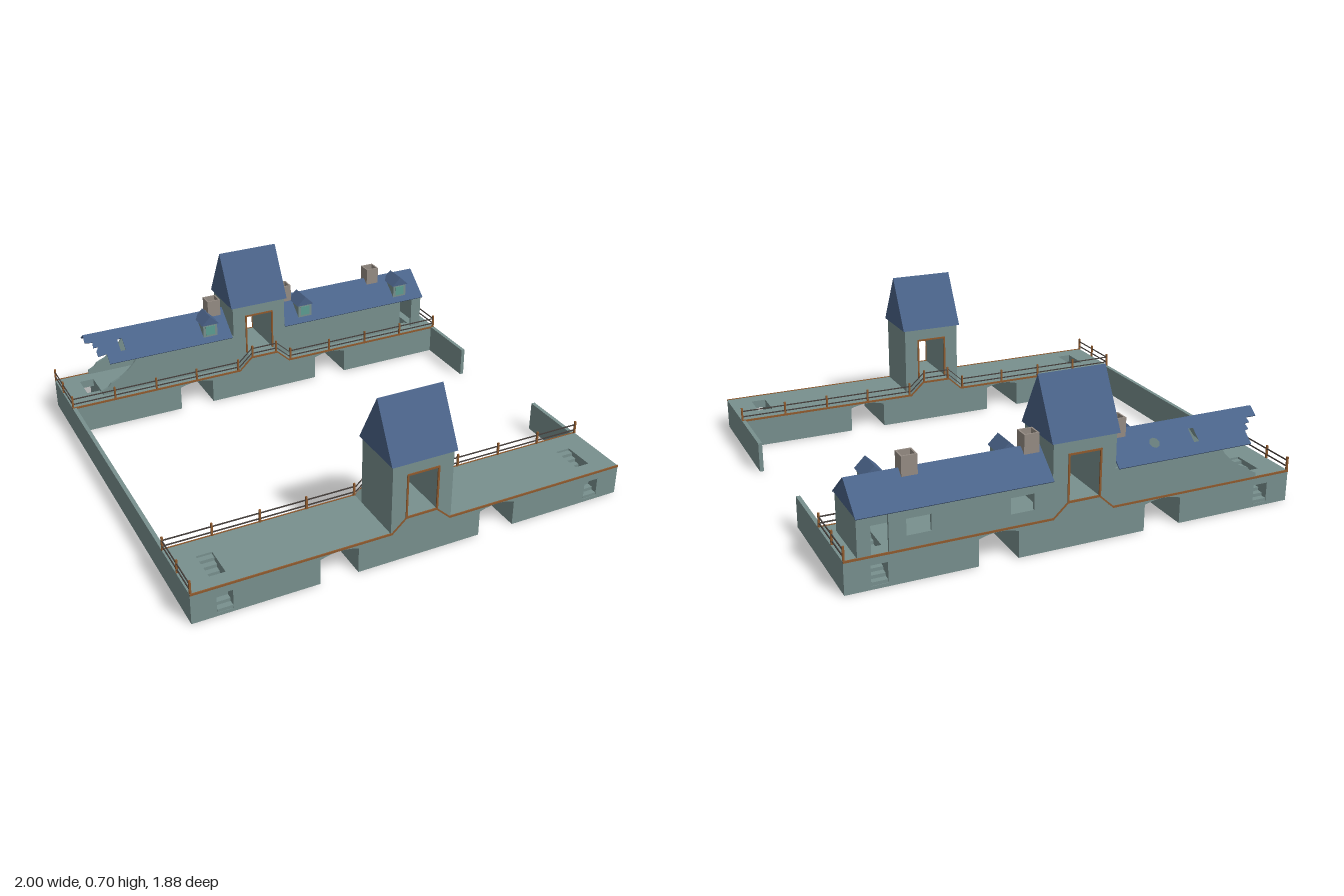
import * as THREE from 'three';
import { mergeGeometries } from 'three/addons/utils/BufferGeometryUtils.js';

const mat = (color) => new THREE.MeshStandardMaterial({ color, flatShading: true });
const STONE = mat(0x78908e), ROOF = mat(0x4a6389), WOOD = mat(0x8f5a2e);
const RAIL = mat(0x453f3c), BRICK = mat(0x958c84), GLASS = mat(0x5d9d92);

function add(parent, name, geo, m, x = 0, y = 0, z = 0) {
  const mesh = new THREE.Mesh(geo, m);
  mesh.name = name;
  mesh.position.set(x, y, z);
  parent.add(mesh);
  return mesh;
}

// Box given by its min and max corners
function boxGeo(x0, x1, y0, y1, z0, z1) {
  const geo = new THREE.BoxGeometry(x1 - x0, y1 - y0, z1 - z0);
  return geo.translate((x0 + x1) / 2, (y0 + y1) / 2, (z0 + z1) / 2);
}

const vectors = (pts) => pts.map(([x, y]) => new THREE.Vector2(x, y));
const rect = (x0, x1, y0, y1) => [[x0, y0], [x1, y0], [x1, y1], [x0, y1]];
function plate(pts, depth, holes = []) {
  const shape = new THREE.Shape(vectors(pts));
  shape.holes = holes.map((h) => new THREE.Path(vectors(h)));
  return new THREE.ExtrudeGeometry(shape, { depth, bevelEnabled: false });
}

// Extrusion along x of a (z, y) outline
const across = (pts, x0, x1) => plate(pts, x1 - x0).rotateY(-Math.PI / 2).translate(x1, 0, 0);
const triangle = (c, half, y0, y1) => [[c - half, y0], [c + half, y0], [c, y1]];

// Closed outline of a strip of height t that follows a line
const strip = (line, lift, t) => [
  ...line.map(([x, y]) => [x, y + lift]),
  ...line.map(([x, y]) => [x, y + lift + t]).reverse(),
];

// Platform section with two arched passages and optional stair slots
function platformOutline(slots) {
  const p = [[-1, 0]];
  for (const c of [-0.37, 0.37]) {
    p.push([c - 0.085, 0]);
    for (let i = 0; i <= 6; i++) {
      const t = -1 + i / 3;
      p.push([c + 0.085 * t, 0.117 + 0.015 * (1 - t * t)]);
    }
    p.push([c + 0.085, 0]);
  }
  p.push([1, 0], [1, 0.14]);
  if (slots) for (const c of [0.86, -0.86])
    p.push([c + 0.034, 0.14], [c + 0.034, 0.015], [c - 0.034, 0.015], [c - 0.034, 0.14]);
  p.push([-1, 0.14]);
  return p;
}

// Platform, stairs, railings and gate tower; outer side towards +z
function gatehouse(name, railedEnds) {
  const g = new THREE.Group();
  g.name = name;
  add(g, 'platformInner', plate(platformOutline(false), 0.1), STONE, 0, 0, 0.62);
  add(g, 'platformOuter', plate(platformOutline(true), 0.21), STONE, 0, 0, 0.72);
  add(g, 'ramp', plate([[-0.14, 0.14], [0.14, 0.14], [0.07, 0.2], [-0.07, 0.2]], 0.06), STONE, 0, 0, 0.62);

  // Stairs rising inwards from a doorway in the outer face
  const steps = [[0.721, 0.016], [0.929, 0.016]];
  for (let i = 0; i < 8; i++) {
    const z = 0.929 - i * 0.026, y = 0.03 + i * 0.0145;
    steps.push([z, y], [z - 0.026, y]);
  }
  for (const c of [-0.86, 0.86]) {
    add(g, 'stairLintel', boxGeo(c - 0.034, c + 0.034, 0.102, 0.14, 0.86, 0.93), STONE);
    add(g, 'stairs', across(steps, c - 0.033, c + 0.033), STONE);
  }

  // Tower with passage and steep roof
  add(g, 'tower', plate(rect(-0.14, 0.14, 0.14, 0.46), 0.25, [rect(-0.07, 0.07, 0.2, 0.4)]), STONE, 0, 0, 0.68);
  add(g, 'towerRoof', across(triangle(0.805, 0.136, 0.46, 0.705), -0.15, 0.15), ROOF);
  const frame = [[-0.075, 0.2], [-0.067, 0.2], [-0.067, 0.398], [0.067, 0.398], [0.067, 0.2],
    [0.075, 0.2], [0.075, 0.406], [-0.075, 0.406]];
  for (const z of [0.676, 0.928]) add(g, 'doorFrame', plate(frame, 0.006), WOOD, 0, 0, z);

  // Wooden edging that climbs over the ramp, on both long sides
  const line = [[-1, 0.14], [-0.135, 0.14], [-0.07, 0.2], [0.07, 0.2], [0.135, 0.14], [1, 0.14]];
  for (const z of [0.617, 0.928]) add(g, 'edging', plate(strip(line, -0.006, 0.009), 0.005), WOOD, 0, 0, z);

  // Railing on the inner edge and the ends
  for (const lift of [0.016, 0.043]) {
    add(g, 'handRail', plate(strip(line, lift, 0.005), 0.004), RAIL, 0, 0, 0.621);
    for (const s of railedEnds)
      add(g, 'endRail', boxGeo(s * 0.996 - 0.002, s * 0.996 + 0.002, 0.14 + lift, 0.145 + lift, 0.627, 0.922), RAIL);
  }
  const posts = [];
  const post = (x, y, z) => posts.push(boxGeo(x - 0.004, x + 0.004, y, y + 0.06, z - 0.004, z + 0.004));
  for (const s of [-1, 1]) {
    for (const x of [0.996, 0.787, 0.577, 0.367, 0.145]) post(s * x, 0.142, 0.623);
    post(s * 0.065, 0.2, 0.623);
  }
  for (const s of railedEnds) for (const z of [0.785, 0.926]) post(s * 0.996, 0.142, z);
  add(g, 'railPosts', mergeGeometries(posts), WOOD);
  return g;
}

// Half-ruined hall built along the back platform
function hall() {
  const g = new THREE.Group();
  g.name = 'hall';
  const ruin = [[-0.14, 0.14], [-0.14, 0.305], [-0.645, 0.305], [-0.665, 0.275], [-0.7, 0.24],
    [-0.74, 0.212], [-0.785, 0.193], [-0.8, 0.175], [-0.83, 0.16], [-0.83, 0.14]];
  const windows = [rect(0.65, 0.75, 0.195, 0.265), rect(0.22, 0.32, 0.195, 0.265)];
  for (const [z, holes] of [[-0.692, []], [-0.93, windows]]) {
    add(g, 'ruinedWall', plate(ruin, 0.012), STONE, 0, 0, z);
    add(g, 'longWall', plate(rect(0.14, 0.82, 0.14, 0.305), 0.012, holes), STONE, 0, 0, z);
    add(g, 'cornerPier', plate(rect(0.89, 0.945, 0.14, 0.305), 0.012), STONE, 0, 0, z);
  }
  add(g, 'endWall', boxGeo(0.933, 0.945, 0.14, 0.305, -0.918, -0.692), STONE);
  add(g, 'gableEnd', across(triangle(-0.805, 0.13, 0.305, 0.409), 0.937, 0.948), ROOF);

  // Roof slopes: x along the ridge, second coordinate up the slope
  const oval = [];
  for (let i = 0; i < 8; i++) {
    const a = i * Math.PI / 4;
    oval.push([-0.35 + 0.024 * Math.cos(a), 0.085 + 0.024 * Math.sin(a)]);
  }
  const L = 0.174;
  const raggedFront = [[-0.15, 0], [-0.15, L], [-0.87, L], [-0.872, 0.135], [-0.835, 0.128], [-0.84, 0.1],
    [-0.815, 0.1], [-0.83, 0.08], [-0.83, 0.05], [-0.785, 0.055], [-0.785, 0]];
  const raggedBack = [[-0.15, 0], [-0.15, L], [-0.87, L], [-0.87, 0.125], [-0.82, 0.125], [-0.825, 0.1],
    [-0.8, 0.098], [-0.805, 0.07], [-0.785, 0.065], [-0.785, 0]];
  const sides = [
    [1, raggedFront, [rect(-0.715, -0.69, 0.055, 0.12)]],
    [-1, raggedBack, [rect(-0.552, -0.528, 0.055, 0.12), oval]],
  ];
  for (const [s, ragged, holes] of sides) {
    const side = new THREE.Group();
    side.name = s > 0 ? 'frontSlope' : 'backSlope';
    side.position.z = -0.805;
    side.rotation.y = s > 0 ? 0 : Math.PI;
    const flip = (pts) => pts.map(([x, y]) => [x * s, y]);
    for (const [pts, cut] of [[ragged, holes], [rect(0.14, 0.95, 0, L), []]]) {
      const slope = add(side, 'roofSlope', plate(flip(pts), 0.005, cut.map(flip)), ROOF, 0, 0.302, 0.135);
      slope.rotation.x = -Math.atan2(0.135, 0.11);
    }
    g.add(side);
  }

  // Dormers on the front slope
  for (const x of [-0.258, 0.263, 0.82]) {
    add(g, 'dormer', boxGeo(x - 0.037, x + 0.037, 0.325, 0.392, -0.77, -0.692), STONE);
    add(g, 'dormerWindow', boxGeo(x - 0.024, x + 0.024, 0.337, 0.383, -0.692, -0.689), GLASS);
    add(g, 'dormerRoof', plate(triangle(x, 0.045, 0.392, 0.436), 0.11), ROOF, 0, 0, -0.795);
  }

  // Open-topped chimneys astride the ridge
  const flue = [rect(-0.026, 0.026, -0.026, 0.026)];
  for (const x of [-0.203, 0.188, 0.698])
    add(g, 'chimney', plate(rect(-0.033, 0.033, -0.033, 0.033), 0.095, flue).rotateX(-Math.PI / 2),
      BRICK, x, 0.38, -0.805);
  return g;
}

export function createModel() {
  const model = new THREE.Group();
  model.name = 'courtyardFort';
  const back = gatehouse('backGatehouse', [-1, 1]);
  back.rotation.y = Math.PI;
  model.add(gatehouse('frontGatehouse', [-1]), back, hall());

  // Courtyard side walls, the right one broken by a wide gap
  add(model, 'sideWall', boxGeo(-1, -0.982, 0, 0.14, -0.62, 0.62), STONE);
  for (const [z0, z1] of [[-0.62, -0.31], [0.31, 0.62]])
    add(model, 'brokenSideWall', boxGeo(0.982, 1, 0, 0.14, z0, z1), STONE);
  return model;
}
